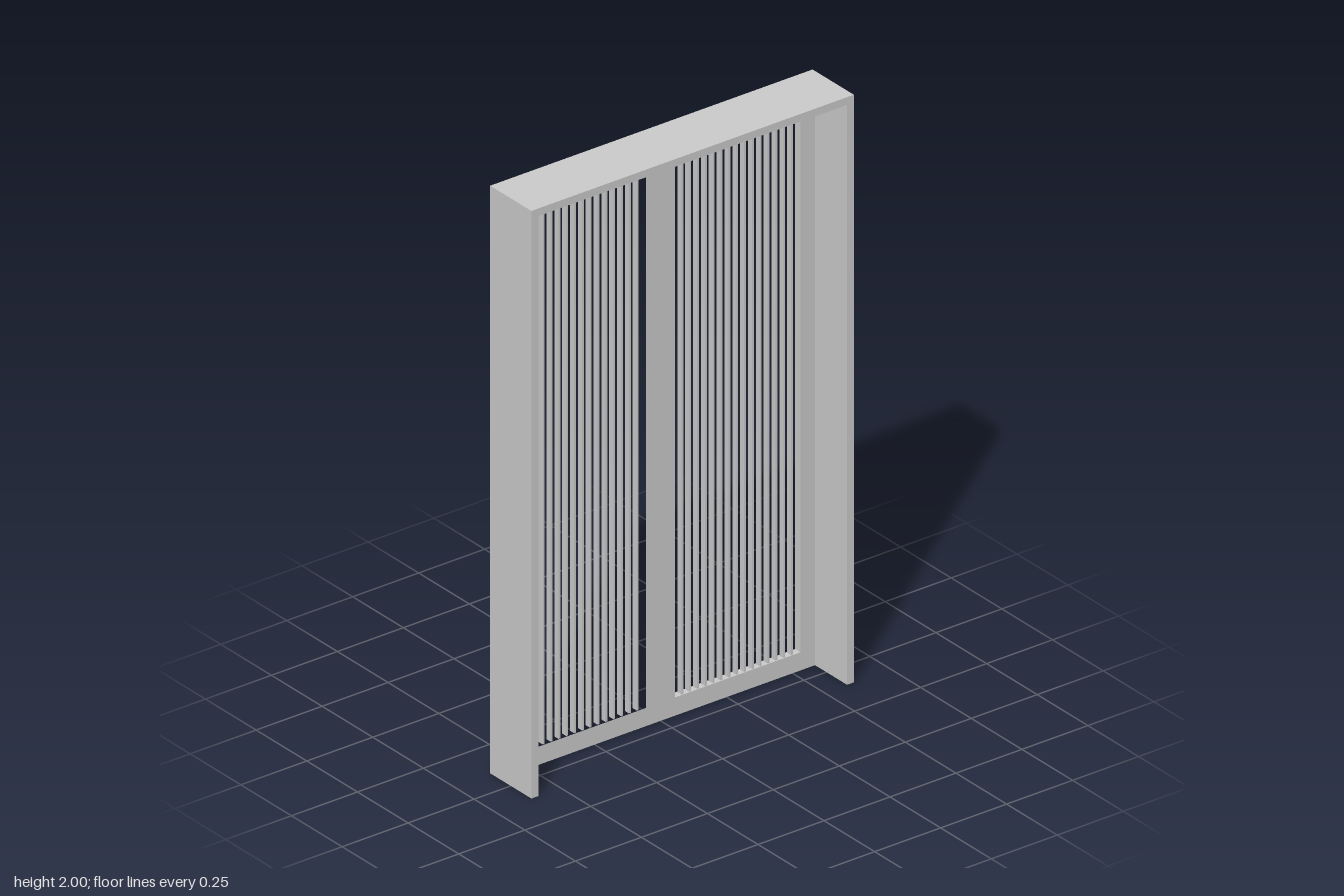
import * as THREE from 'three';

export function createModel() {
  const group = new THREE.Group();
  group.name = 'doubleSlattedDoor';
  const material = new THREE.MeshStandardMaterial({ color: 0xcccccc, flatShading: true });

  const W = 0.611, H = 2, D = 0.204, T = 0.026; // casing half width, height, depth, thickness
  const zBack = -0.082, thick = 0.026;          // door leaves
  const zMid = zBack + thick / 2;

  function extrude(name, shape, depth, z, parent) {
    const mesh = new THREE.Mesh(new THREE.ExtrudeGeometry(shape, { depth, bevelEnabled: false }), material);
    mesh.name = name;
    mesh.position.z = z;
    parent.add(mesh);
  }
  const polygon = (points) => points.map(([x, y]) => new THREE.Vector2(x, y));
  const rect = (x0, y0, x1, y1) => polygon([[x0, y0], [x1, y0], [x1, y1], [x0, y1]]);

  // Casing: two jambs and a head in one piece, open at the floor
  const casing = new THREE.Shape(polygon([
    [-W, 0], [-W + T, 0], [-W + T, H - T], [W - T, H - T],
    [W - T, 0], [W, 0], [W, H], [-W, H],
  ]));
  extrude('casing', casing, D, -D / 2, group);

  // Two mirrored leaves, each a frame filled with upright slats
  const x0 = 0.055, x1 = 0.53, y0 = 0.062, y1 = 1.915, slats = 15;
  for (const side of [-1, 1]) {
    const leaf = new THREE.Group();
    leaf.name = side > 0 ? 'leftLeaf' : 'rightLeaf';

    const frame = new THREE.Shape(rect(side * 0.001, 0, side * (W - T), H - T));
    frame.holes.push(new THREE.Path(rect(side * x0, y0, side * x1, y1)));
    extrude('leafFrame', frame, thick, zBack, leaf);

    const slatGeometry = new THREE.BoxGeometry(0.007, y1 - y0, 0.02);
    for (let i = 1; i <= slats; i++) {
      const slat = new THREE.Mesh(slatGeometry, material);
      slat.name = 'slat';
      slat.position.set(side * (x0 + (x1 - x0) * i / (slats + 1)), (y0 + y1) / 2, zMid);
      leaf.add(slat);
    }
    group.add(leaf);
  }

  // Strip closing the joint between the leaves, flush with their front
  const strip = new THREE.Mesh(new THREE.BoxGeometry(0.002, H - T, thick / 2), material);
  strip.name = 'meetingStrip';
  strip.position.set(0, (H - T) / 2, zMid + thick / 4);
  group.add(strip);

  return group;
}
